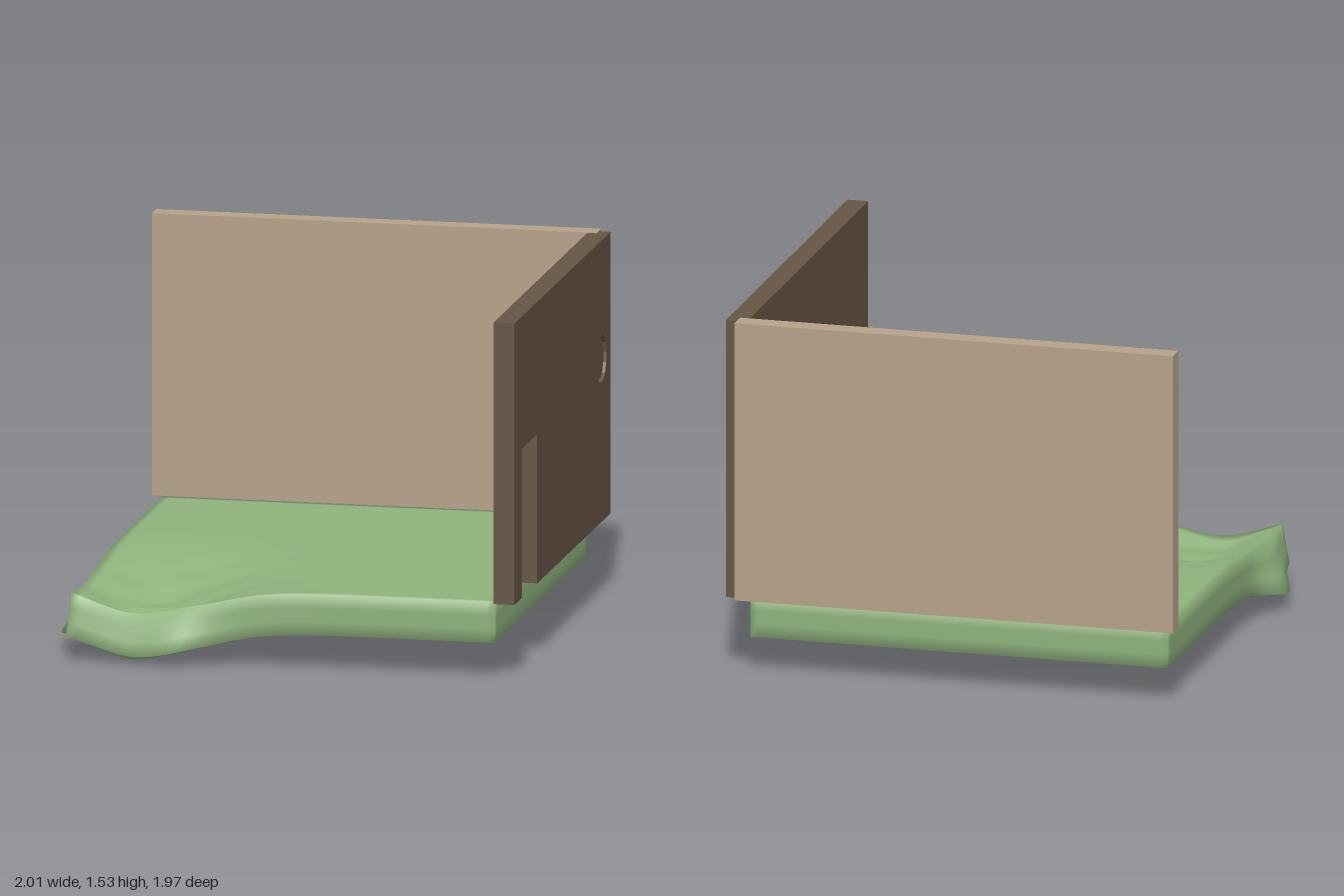
import * as THREE from 'three';
import { mergeVertices } from 'three/addons/utils/BufferGeometryUtils.js';

const bell = (v, centre, width) => Math.exp(-(((v - centre) / width) ** 2));

// Ground slab whose front right-hand corner sags and bulges out
function groundGeometry() {
  const half = 0.905, top = 0.345, thick = 0.175;
  const box = new THREE.BoxGeometry(2 * half, thick, 2 * half, 56, 3, 56);
  box.deleteAttribute('normal');
  box.deleteAttribute('uv');
  const geo = mergeVertices(box);
  const p = geo.attributes.position;
  for (let i = 0; i < p.count; i++) {
    const x = p.getX(i), z = p.getZ(i);
    const t = 0.5 - p.getY(i) / thick; // 0 at the top, 1 at the bottom
    // Sag with small lumps
    const dip = bell(x, -0.63, x < -0.63 ? 0.27 : 0.38) * bell(z, 0.72, z < 0.72 ? 0.45 : 0.36);
    const lumps = Math.sin(13 * x + 5 * z) * Math.sin(21 * z - 3 * x + 1);
    const sag = dip * (0.15 + 0.013 * lumps);
    // The lower edges push outward
    const nearSide = Math.max(0, (-x - 0.6) / 0.305) ** 2;
    const nearFront = Math.max(0, (z - 0.6) / 0.305) ** 2;
    const sideBulge = 0.085 * bell(z, 0.62, 0.16) + 0.018 * bell(z, 0.75, 0.35);
    const frontBulge = 0.05 * bell(x, -0.46, 0.14) + 0.04 * bell(x, -0.72, 0.4);
    const sideDrop = 0.03 * nearSide * bell(z, 0.62, 0.2);
    p.setXYZ(i,
      x - nearSide * sideBulge * t ** 1.4,
      top - t * thick - sag - sideDrop * t,
      z + nearFront * frontBulge * t);
  }
  geo.computeVertexNormals();
  return geo;
}

// Round outline with slightly uneven corners
function roundPoints(cx, cy, radius) {
  const points = [];
  for (let i = 0; i < 14; i++) {
    const a = (i / 14) * Math.PI * 2 + 0.1;
    const r = radius * (1 + 0.02 * Math.sin(i * 2.3));
    points.push(new THREE.Vector2(cx + r * Math.cos(a), cy + r * Math.sin(a)));
  }
  return points;
}

export function createModel() {
  const model = new THREE.Group();
  const grass = new THREE.MeshStandardMaterial({ name: 'grassGreen', color: 0x8fb37d });
  const tan = new THREE.MeshStandardMaterial({ name: 'tanPlaster', color: 0xb5a28a });
  const brown = new THREE.MeshStandardMaterial({ name: 'darkBrown', color: 0x665545 });

  const add = (name, geometry, material) => {
    const mesh = new THREE.Mesh(geometry, material);
    mesh.name = name;
    model.add(mesh);
    return mesh;
  };

  add('ground', groundGeometry(), grass);

  // Plain back wall
  add('backWall', new THREE.BoxGeometry(1.9, 1.204, 0.088), tan).position.set(0, 0.95, -0.946);

  // Side wall drawn in the z-y plane (shape x is -z), with a doorway and a round opening
  const outline = [
    [-0.96, 0.348], [-0.81, 0.348], [-0.81, 0.985], [-0.51, 0.985],
    [-0.51, 0.348], [0.948, 0.348], [0.948, 1.55], [-0.96, 1.55],
  ].map(([u, v]) => new THREE.Vector2(u, v));
  const wall = new THREE.Shape(outline);
  wall.holes.push(new THREE.Path(roundPoints(0.765, 1.045, 0.102)));

  const extrude = (shape, depth) =>
    new THREE.ExtrudeGeometry(shape, { depth, bevelEnabled: false }).rotateY(Math.PI / 2);
  add('sideWall', extrude(wall, 0.09), brown).position.x = 0.91;

  // Loose disc sitting inside the round opening
  const disc = new THREE.Shape(roundPoints(0.763, 1.045, 0.091));
  add('roundPlug', extrude(disc, 0.07), brown).position.x = 0.92;

  return model;
}
